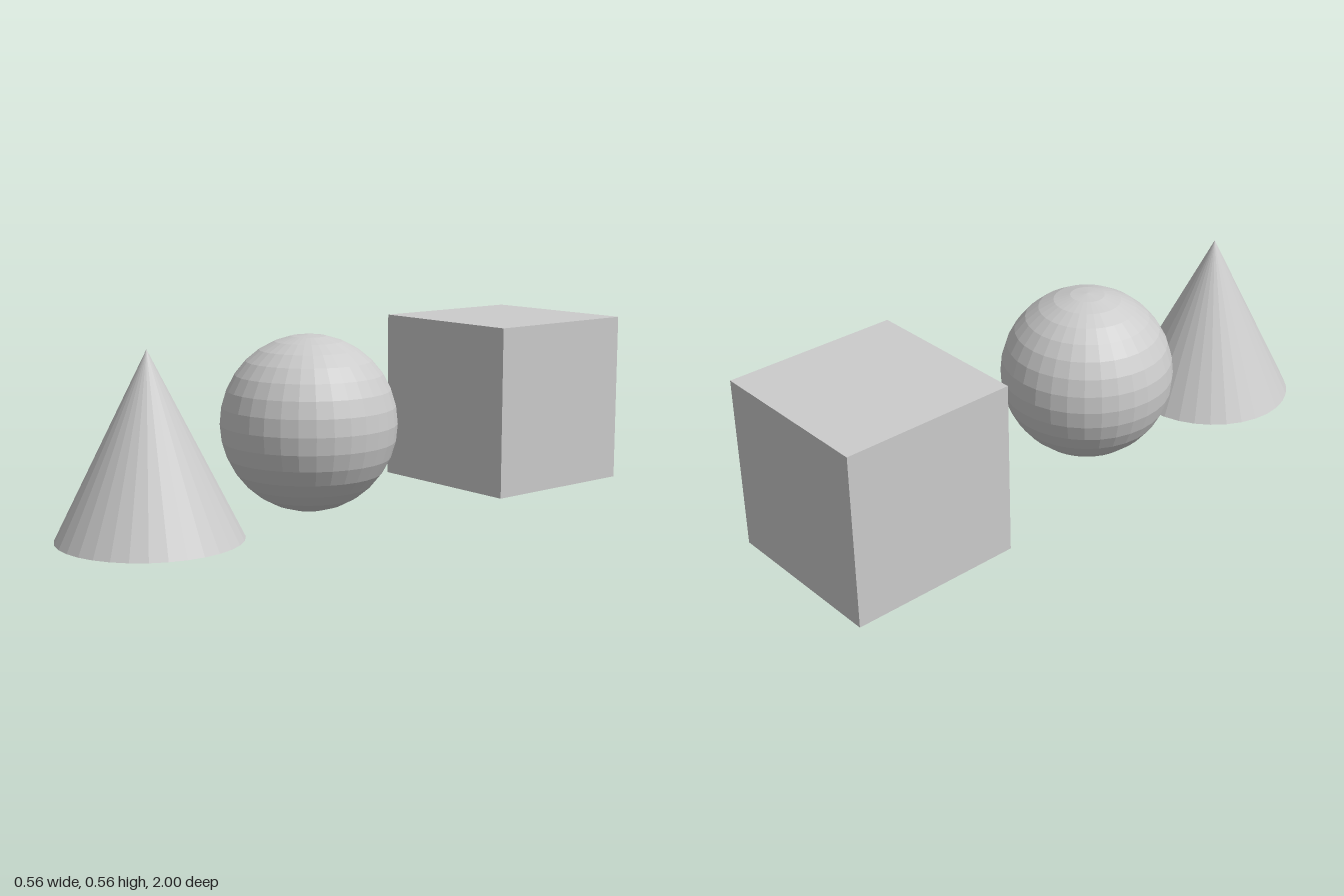
import * as THREE from 'three';

const R = 0.278; // half-size shared by all three solids

export function createModel() {
  const group = new THREE.Group();
  const material = new THREE.MeshStandardMaterial({ color: 0xcccccc, flatShading: true });

  // Each solid rests on the ground, in a row along z
  const add = (name, geometry, z) => {
    const mesh = new THREE.Mesh(geometry, material);
    mesh.name = name;
    mesh.position.set(0, R, z);
    group.add(mesh);
  };

  add('cone', new THREE.ConeGeometry(R, 2 * R, 32), 1 - R);
  add('sphere', new THREE.SphereGeometry(R, 32, 16), 0.13);
  add('cube', new THREE.BoxGeometry(2 * R, 2 * R, 2 * R), R - 1);

  return group;
}
